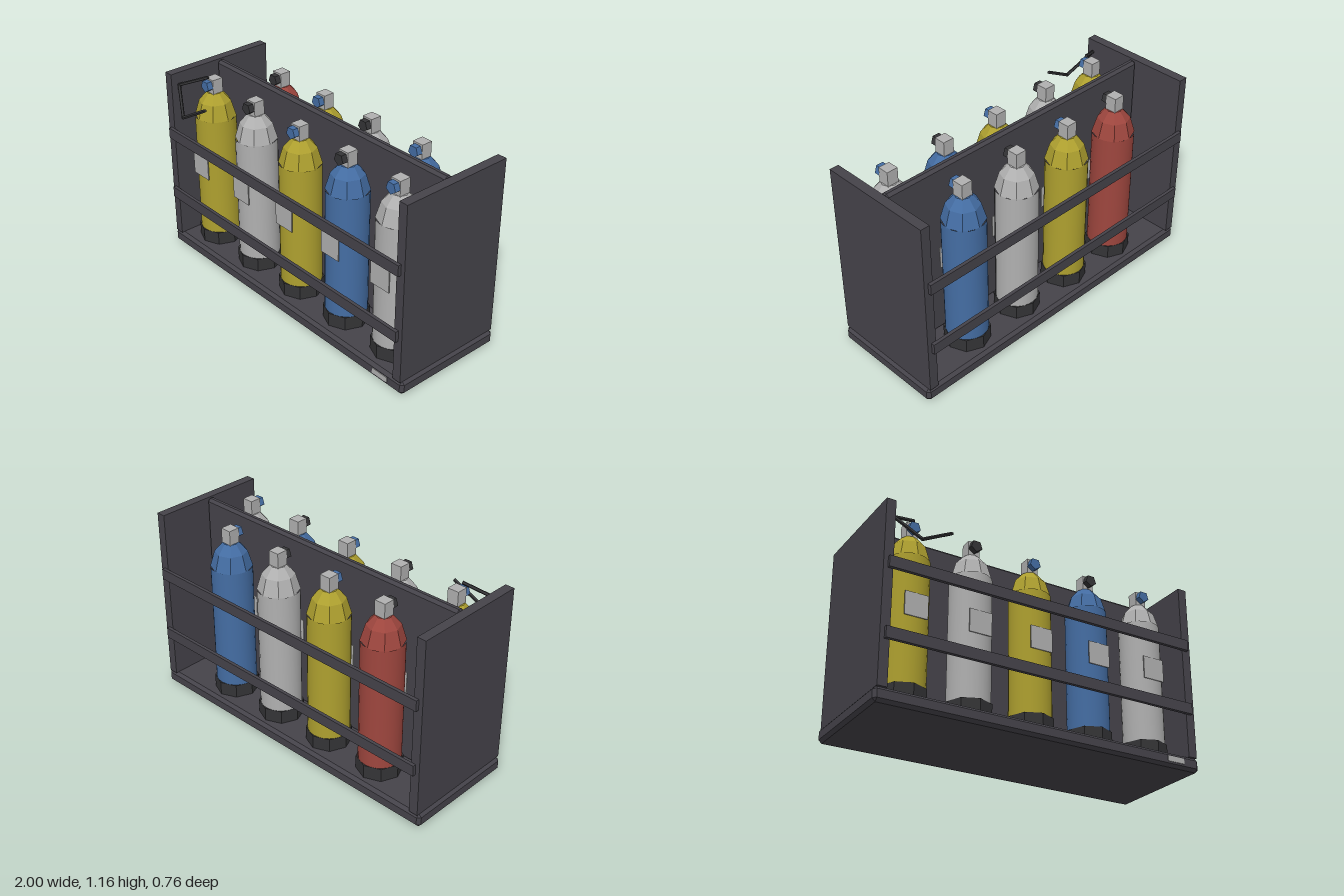
import * as THREE from 'three';
import { ConvexGeometry } from 'three/addons/geometries/ConvexGeometry.js';

const mat = (name, color) => {
  const m = new THREE.MeshStandardMaterial({ color });
  m.name = name;
  return m;
};

export function createModel() {
  const frame = mat('charcoal frame', 0x45434a);
  const rubber = mat('dark rubber', 0x343436);
  const yellow = mat('yellow', 0xaea02f);
  const white = mat('light grey', 0xb0b0b0);
  const blue = mat('blue', 0x446da3);
  const red = mat('red', 0x9e463e);

  const model = new THREE.Group();
  model.name = 'cylinderRack';

  const add = (parent, name, geo, material, x = 0, y = 0, z = 0) => {
    const mesh = new THREE.Mesh(geo, material);
    mesh.name = name;
    mesh.position.set(x, y, z);
    parent.add(mesh);
    return mesh;
  };
  const box = (w, h, d) => new THREE.BoxGeometry(w, h, d);
  const flat = (geo) => {
    const g = geo.toNonIndexed();
    g.computeVertexNormals();
    return g;
  };

  // Box with a single chamfer along every edge
  const chamferBox = (w, h, d, c) => {
    const pts = [];
    for (const sx of [-1, 1]) for (const sy of [-1, 1]) for (const sz of [-1, 1]) {
      for (let full = 0; full < 3; full++) {
        const [x, y, z] = [w, h, d].map((s, i) => s / 2 - (i === full ? 0 : c));
        pts.push(new THREE.Vector3(sx * x, sy * y, sz * z));
      }
    }
    return new ConvexGeometry(pts);
  };

  // Rack: base, divider, side panels and rails
  add(model, 'base', chamferBox(2, 0.083, 0.695, 0.018), frame, 0, 0.0415, -0.0125);
  add(model, 'divider', chamferBox(1.86, 1.065, 0.05, 0.016), frame, 0, 0.6135, -0.015);
  for (const s of [-1, 1]) {
    add(model, s > 0 ? 'leftPanel' : 'rightPanel', box(0.055, 1.065, 0.695), frame, s * 0.9575, 0.6145, -0.0125);
  }
  for (const y of [0.37, 0.77]) {
    add(model, 'frontRail', box(1.92, 0.065, 0.02), frame, 0, y, 0.345);
    add(model, 'backRail', box(1.92, 0.065, 0.02), frame, 0, y, -0.37);
  }
  add(model, 'basePlate', box(0.11, 0.032, 0.006), white, 0.835, 0.045, 0.336);

  // Shared cylinder parts
  const boot = flat(new THREE.CylinderGeometry(0.13, 0.13, 0.082, 8));
  const shoulder = flat(new THREE.LatheGeometry(
    [[0.121, 0.9], [0.093, 0.995], [0.045, 1.05], [0, 1.05]].map((p) => new THREE.Vector2(...p)), 8));
  const knob = flat(new THREE.CylinderGeometry(0.036, 0.036, 0.035, 5).rotateX(Math.PI / 2));
  const valve = box(0.068, 0.095, 0.068);
  const label = box(0.136, 0.136, 0.006);
  const bodyArc = (start, length) =>
    new THREE.CylinderGeometry(0.12, 0.12, 0.76, Math.round(length / (Math.PI / 12)), 1, true, start, length);

  // stripeDeg: direction of the dark vertical band, if the cylinder has one
  const addBottle = (x, z, color, knobColor, stripeDeg) => {
    const g = new THREE.Group();
    g.name = 'gasCylinder';
    g.position.set(x, 0, z);
    model.add(g);
    add(g, 'boot', boot, rubber, 0, 0.123, 0);
    if (stripeDeg === undefined) {
      add(g, 'body', bodyArc(0, Math.PI * 2), color, 0, 0.525, 0);
    } else {
      const start = THREE.MathUtils.degToRad(stripeDeg - 45);
      add(g, 'darkBand', bodyArc(start, Math.PI / 2), rubber, 0, 0.525, 0);
      add(g, 'body', bodyArc(start + Math.PI / 2, Math.PI * 1.5), color, 0, 0.525, 0);
    }
    add(g, 'shoulder', shoulder, color);
    add(g, 'valve', valve, white, 0, 1.0885, 0);
    add(g, 'knob', knob, knobColor, 0, 1.097, 0.05);
    add(g, 'label', label, white, 0, 0.602, 0.122);
  };

  // Front row
  [[yellow, blue], [white, rubber, 175], [yellow, blue], [blue, rubber], [white, blue, 100]]
    .forEach(([c, k, a], i) => addBottle(-0.763 + i * 0.38, 0.155, c, k, a));
  // Back row
  [[red, rubber], [yellow, blue], [white, rubber, 20], [blue, blue]]
    .forEach(([c, k, a], i) => addBottle(-0.575 + i * 0.38, -0.19, c, k, a));

  // Bent rod hanging from the first valve
  const path = [[-0.765, 1.147, 0.2], [-0.92, 1.075, 0.29], [-0.785, 0.94, 0.367], [-0.605, 1.043, 0.342]]
    .map((p) => new THREE.Vector3(...p));
  const up = new THREE.Vector3(0, 1, 0);
  for (let i = 0; i < path.length - 1; i++) {
    const dir = path[i + 1].clone().sub(path[i]);
    const rod = add(model, 'bentRod', flat(new THREE.CylinderGeometry(0.01, 0.01, dir.length() + 0.01, 5)), rubber);
    rod.position.copy(path[i]).addScaledVector(dir, 0.5);
    rod.quaternion.setFromUnitVectors(up, dir.normalize());
  }
  return model;
}
